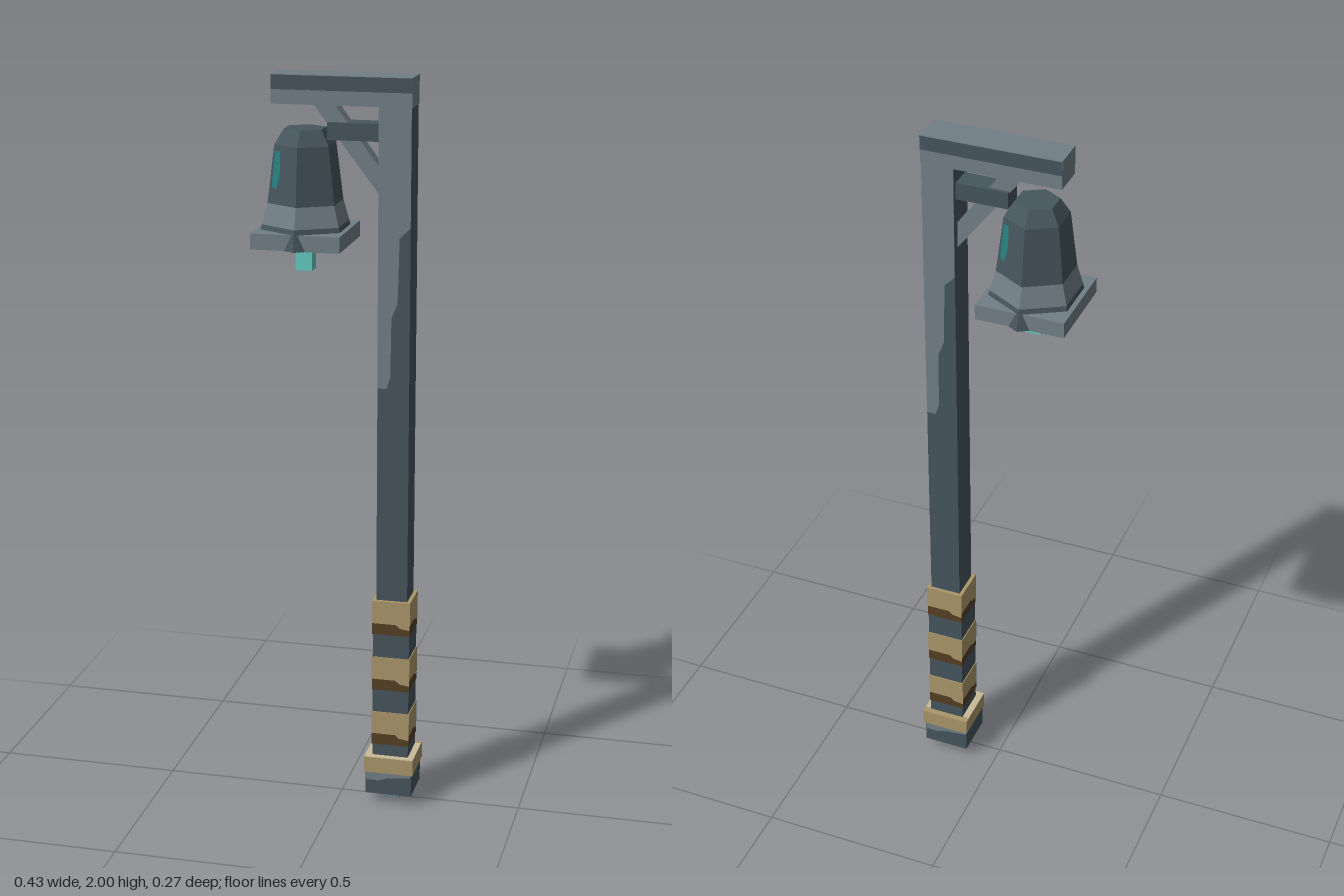
import * as THREE from 'three';

const mat = (name, color, extra = {}) => {
  const m = new THREE.MeshStandardMaterial({ color, flatShading: true, ...extra });
  m.name = name;
  return m;
};

export function createModel() {
  const slate = mat('dark slate', 0x46555d);
  const steel = mat('light slate', 0x727f87);
  const gold = mat('tan wrap', 0xab966a);
  const cream = mat('pale tan', 0xc8bb9a);
  const brown = mat('dark brown', 0x553f24);
  const teal = mat('bright teal', 0x62cbbf);
  const patina = mat('deep teal', 0x23807f);
  const root = new THREE.Group();
  root.name = 'bellStaff';
  const POST = 0.147, BELL = -0.098;

  const add = (name, geo, material, x = 0, y = 0, z = 0, parent = root) => {
    const m = new THREE.Mesh(geo, material);
    m.name = name;
    m.position.set(x, y, z);
    parent.add(m);
    return m;
  };
  // Box given by its x centre, lower and upper y, width and depth
  const block = (name, material, x, y0, y1, w, d) =>
    add(name, new THREE.BoxGeometry(w, y1 - y0, d), material, x, (y0 + y1) / 2, 0);
  const shape = (pts) => new THREE.Shape(pts.map(([x, y]) => new THREE.Vector2(x, y)));
  // Same thin plate on the front and, turned half round, on the back
  const platePair = (name, pts, material, x, z) => {
    for (const turn of [0, Math.PI]) {
      const g = new THREE.Group();
      g.name = name;
      g.position.x = x;
      g.rotation.y = turn;
      add(name, new THREE.ShapeGeometry(shape(pts)), material, 0, 0, z, g);
      root.add(g);
    }
  };

  // Foot of the staff
  block('footPin', steel, 0.146, 0, 0.03, 0.042, 0.042);
  block('footBlock', slate, 0.145, 0.03, 0.095, 0.128, 0.124);
  platePair('footWear', [[-0.062, 0.072], [-0.03, 0.07], [0, 0.08], [0.062, 0.086], [0.062, 0.095], [-0.062, 0.095]],
    steel, 0.145, 0.0635);
  block('collar', gold, 0.146, 0.095, 0.14, 0.136, 0.134);
  const top = block('collarTop', cream, 0.146, 0.14, 0.142, 0.136, 0.116);
  top.position.z = 0.009;

  // Grip with three wrapped bands, each with a brown lower edge
  block('grip', slate, POST, 0.14, 0.595, 0.1, 0.1);
  for (const y of [0.175, 0.337, 0.5]) {
    block('wrapEdge', brown, POST, y, y + 0.032, 0.103, 0.103);
    block('wrap', gold, POST, y + 0.032, y + 0.097, 0.105, 0.105);
    // Ragged lower edge of the wrap on every side
    for (let i = 0; i < 4; i++) {
      const g = new THREE.Group();
      g.name = 'wrapFray';
      g.position.x = POST;
      g.rotation.y = i * Math.PI / 2;
      add('wrapFray', new THREE.ShapeGeometry(shape([[0.012, y + 0.033], [0.025, y + 0.022], [0.052, y + 0.018],
        [0.052, y + 0.033]])), gold, 0, 0, 0.0522, g);
      root.add(g);
    }
  }

  // Post with pale wear running down two sides
  block('post', slate, POST, 0.595, 1.925, 0.085, 0.085);
  platePair('postWear', [[-0.0425, 1.19], [-0.018, 1.19], [-0.008, 1.22], [-0.006, 1.38], [0.01, 1.42],
    [0.014, 1.59], [0.0425, 1.62], [0.0425, 1.925], [-0.0425, 1.925]], steel, POST, 0.0435);

  // Cross beam with a darker upper strip on its long sides
  block('beam', steel, 0.007, 1.925, 2, 0.368, 0.09);
  platePair('beamStrip', [[-0.184, 1.962], [0.184, 1.962], [0.184, 1.999], [-0.184, 1.999]], slate, 0.007, 0.046);

  // Diagonal brace and short bracket
  const braceGeo = new THREE.ExtrudeGeometry(
    shape([[-0.072, 1.925], [0.105, 1.695], [0.105, 1.765], [-0.015, 1.925]]), { depth: 0.044, bevelEnabled: false });
  add('brace', braceGeo, steel, 0, 0, -0.022);
  block('bracket', slate, 0.037, 1.835, 1.88, 0.14, 0.06);

  // Six-sided bell, built up in rings: lower y, upper y, lower and upper radius
  const rings = [
    [1.56, 1.615, 0.133, 0.118, slate],
    [1.615, 1.67, 0.118, 0.102, steel],
    [1.67, 1.82, 0.102, 0.083, slate],
    [1.82, 1.86, 0.083, 0.057, slate],
  ];
  for (const [y0, y1, r0, r1, m] of rings) {
    add('bellRing', new THREE.CylinderGeometry(r1, r0, y1 - y0, 6, 1, true), m, BELL, (y0 + y1) / 2, 0);
  }
  add('bellCrown', new THREE.CircleGeometry(0.057, 6).rotateZ(Math.PI / 2).rotateX(-Math.PI / 2),
    slate, BELL, 1.86, 0);
  block('bellLip', steel, BELL, 1.56, 1.602, 0.236, 0.234);
  block('clapper', teal, BELL, 1.49, 1.56, 0.044, 0.044);

  // Patina streaks on two opposite bell faces
  const slope = Math.atan((0.102 - 0.083) * Math.cos(Math.PI / 6) / 0.15);
  for (const turn of [-Math.PI / 6, Math.PI * 5 / 6]) {
    const g = new THREE.Group();
    g.name = 'patina';
    g.position.set(BELL, 1.745, 0);
    g.rotation.y = turn;
    const streak = add('patinaStreak', new THREE.ShapeGeometry(shape([[-0.038, -0.03], [-0.022, -0.04],
      [-0.012, 0.01], [-0.018, 0.06], [-0.036, 0.06]])), patina, 0, 0, 0.0815, g);
    streak.rotation.x = -slope;
    root.add(g);
  }
  return root;
}
